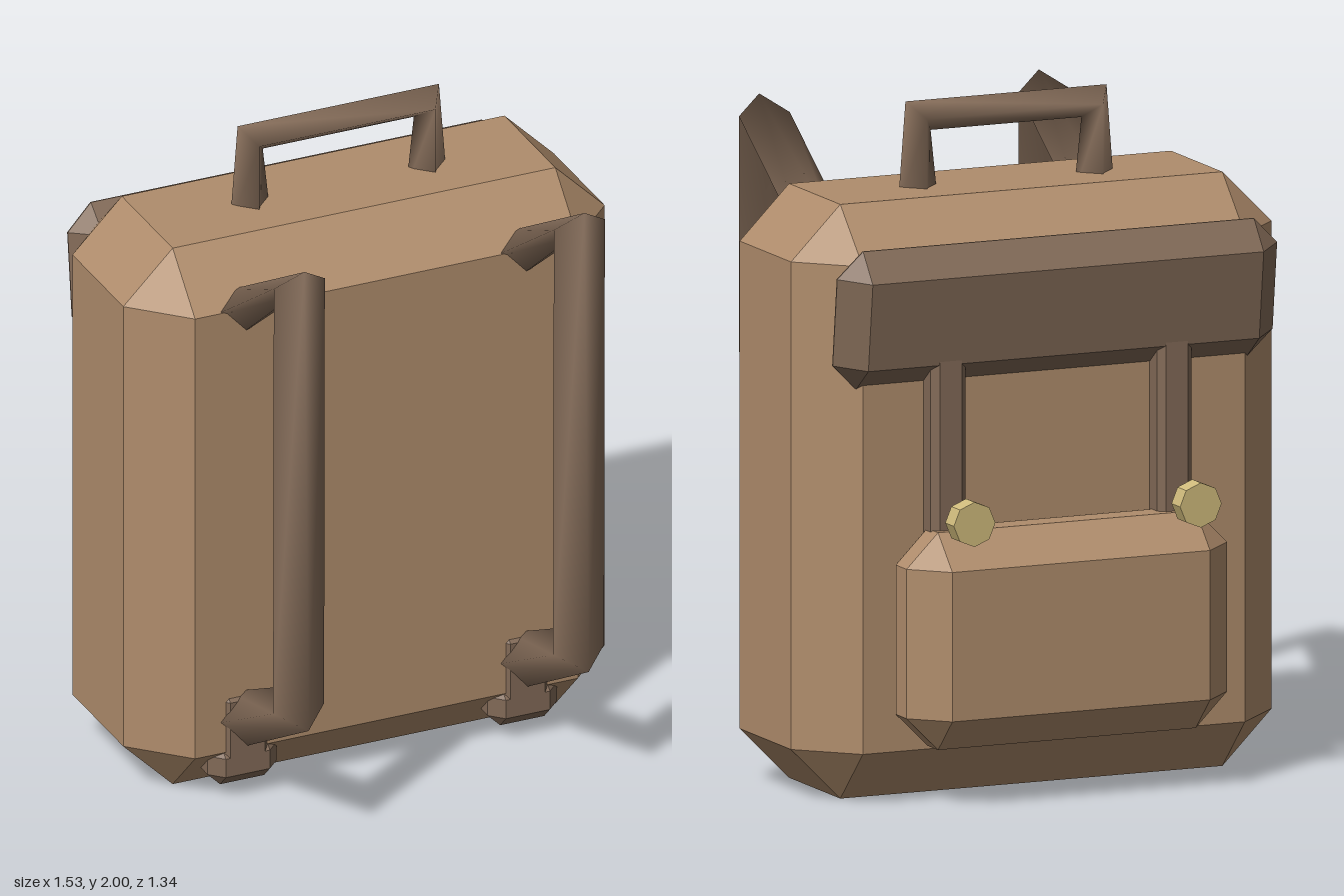
import * as THREE from 'three';
import { ConvexGeometry } from 'three/addons/geometries/ConvexGeometry.js';

const canvas = new THREE.MeshStandardMaterial({ color: 0xb08d6c, flatShading: true });
const leather = new THREE.MeshStandardMaterial({ color: 0x826a57, flatShading: true });
const webbing = new THREE.MeshStandardMaterial({ color: 0x826a57, side: THREE.DoubleSide });
const brass = new THREE.MeshStandardMaterial({ color: 0xd0bb7c, flatShading: true });

// Box with every edge and corner bevelled by c, given by its extents
function bevelBox(name, [x0, x1], [y0, y1], [z0, z1], c, material) {
  const half = [(x1 - x0) / 2, (y1 - y0) / 2, (z1 - z0) / 2];
  const points = [];
  for (const sx of [-1, 1]) for (const sy of [-1, 1]) for (const sz of [-1, 1]) {
    const sign = [sx, sy, sz];
    for (let full = 0; full < 3; full++) {
      points.push(new THREE.Vector3(...half.map((h, i) => sign[i] * (i === full ? h : h - c))));
    }
  }
  const mesh = new THREE.Mesh(new ConvexGeometry(points), material);
  mesh.name = name;
  mesh.position.set((x0 + x1) / 2, (y0 + y1) / 2, (z0 + z1) / 2);
  return mesh;
}

// Smooth band with a diamond section; each ring has a centre, an outward offset and a side offset
function diamondBand(name, rings) {
  const positions = [], index = [];
  rings.forEach(([centre, out, side], i) => {
    for (const [o, s] of [[1, 0], [0, 1], [-1, 0], [0, -1]]) {
      positions.push(...centre.map((v, k) => v + o * out[k] + s * side[k]));
    }
    if (i === 0) return;
    for (let j = 0; j < 4; j++) {
      const a = (i - 1) * 4 + j, b = (i - 1) * 4 + (j + 1) % 4;
      index.push(a, a + 4, b, b, a + 4, b + 4);
    }
  });
  const geometry = new THREE.BufferGeometry();
  geometry.setAttribute('position', new THREE.Float32BufferAttribute(positions, 3));
  geometry.setIndex(index);
  geometry.computeVertexNormals();
  const mesh = new THREE.Mesh(geometry, webbing);
  mesh.name = name;
  return mesh;
}

export function createModel() {
  const pack = new THREE.Group();
  pack.name = 'backpack';

  // Main bag and rear pocket
  pack.add(bevelBox('body', [-0.765, 0.765], [0, 1.75], [-0.435, 0.235], 0.157, canvas));
  pack.add(bevelBox('pocket', [-0.51, 0.51], [0.17, 0.81], [-0.625, -0.35], 0.1, canvas));

  // Tilted closing flap
  const flap = bevelBox('flap', [-0.7, 0.7], [1.228, 1.646], [-0.52, -0.36], 0.078, leather);
  flap.rotation.x = -0.12;
  pack.add(flap);

  // Carry handle on top
  const handlePath = [[-0.28, 1.68, -0.065, 0], [-0.28, 1.955, -0.04, 0.045],
    [0.28, 1.955, 0.04, 0.045], [0.28, 1.68, 0.065, 0]];
  pack.add(diamondBand('handle', handlePath.map(([x, y, dx, dy]) =>
    [[x, y, -0.102], [dx, dy, 0], [0, 0, -0.064]])));

  // Shoulder strap outline: z, y, outward dz, outward dy
  const strapPath = [[0.13, 1.525, -0.035, 0.06], [0.605, 1.85, 0.036, 0.055],
    [0.6, 0.46, 0.07, -0.04], [0.15, 0.21, 0.035, -0.075]];

  for (const [label, s] of [['left', 1], ['right', -1]]) {
    const x = s * 0.445;
    pack.add(diamondBand(label + 'ShoulderStrap', strapPath.map(([z, y, dz, dy]) =>
      [[x, y, z], [0, dy, dz], [0.081, 0, 0]])));

    // Lower strap anchor
    pack.add(bevelBox(label + 'Anchor', [x - 0.11, x + 0.11], [0.04, 0.18], [0.09, 0.245], 0.04, leather));
    pack.add(bevelBox(label + 'AnchorTab', [x - 0.075, x + 0.075], [0.06, 0.34], [0.12, 0.245], 0.02, leather));

    // Closing strap under the flap, with its stud
    const cx = s * 0.36;
    pack.add(bevelBox(label + 'ClosingStrap', [cx - 0.055, cx + 0.055], [0.7, 1.42], [-0.505, -0.41], 0.02, leather));
    const stud = new THREE.Mesh(new THREE.CylinderGeometry(0.066, 0.066, 0.06, 8), brass);
    stud.name = label + 'Stud';
    stud.rotation.x = Math.PI / 2;
    stud.position.set(cx, 0.855, -0.64);
    pack.add(stud);
  }
  return pack;
}
